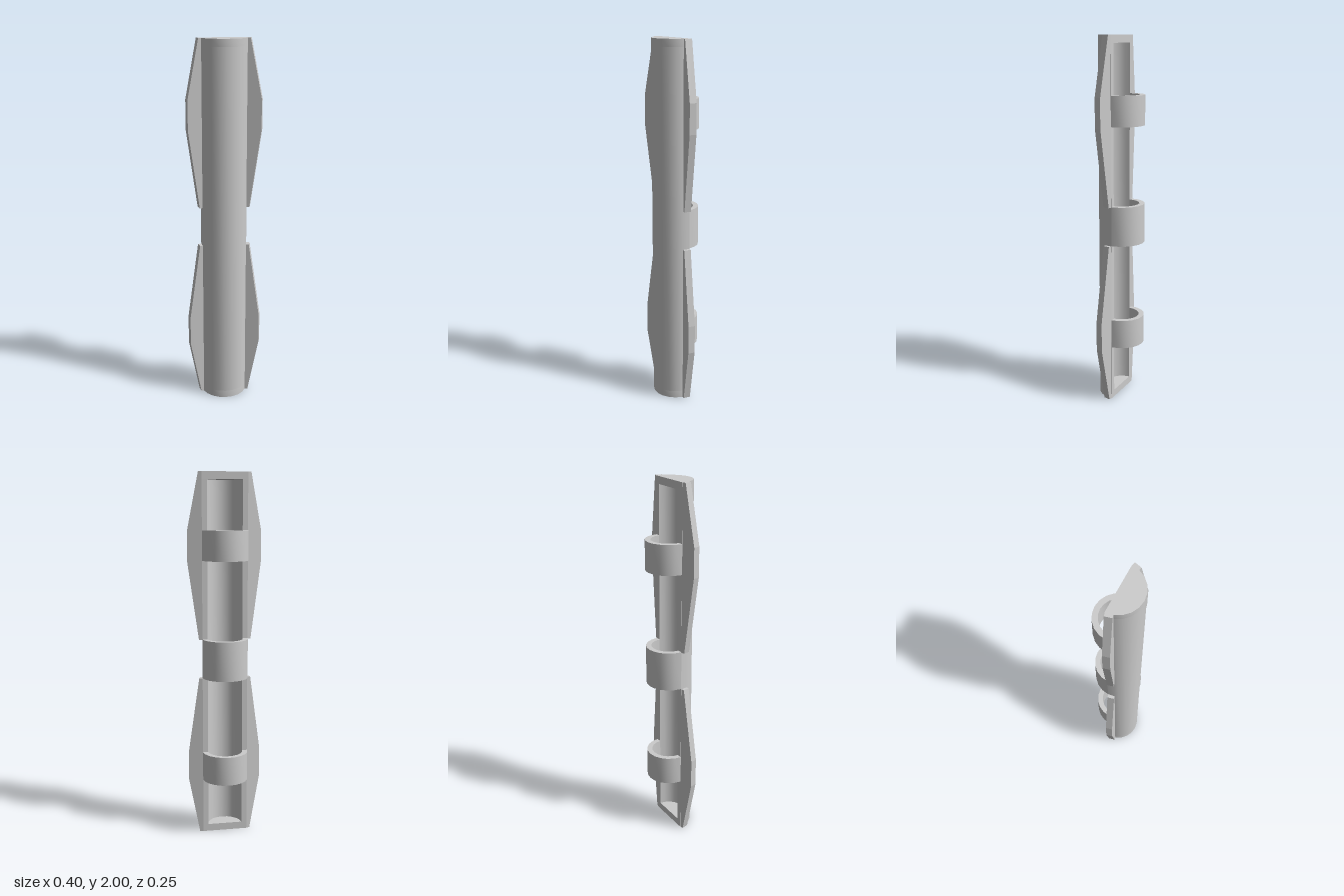
import * as THREE from 'three';
import { toCreasedNormals } from 'three/addons/utils/BufferGeometryUtils.js';

const R = 0.125, INNER = 0.096, SEGS = 10, END = 0.04;
const material = new THREE.MeshStandardMaterial({ color: 0xcccccc });

// Points of a half circle, front (side = 1, +z) or back (side = -1)
function arc(radius, side) {
  return Array.from({ length: SEGS + 1 }, (_, i) => {
    const a = (Math.PI * i) / SEGS;
    return new THREE.Vector2(radius * Math.cos(a), -side * radius * Math.sin(a));
  });
}

// Upright half cylinder from y0 to y1; inner = 0 makes it solid
function halfTube(name, side, inner, y0, y1) {
  const points = arc(R, side);
  if (inner > 0) points.push(...arc(inner, side).reverse());
  const geo = new THREE.ExtrudeGeometry(new THREE.Shape(points), { depth: y1 - y0, bevelEnabled: false });
  geo.rotateX(-Math.PI / 2).translate(0, y0, 0);
  const mesh = new THREE.Mesh(toCreasedNormals(geo, 0.5), material);
  mesh.name = name;
  return mesh;
}

// Tapered side plate, swept forward; outline is [distance out, height]
function wing(name, side, outline) {
  const shape = new THREE.Shape(outline.map(([u, y]) => new THREE.Vector2(side * u, y)));
  const geo = new THREE.ExtrudeGeometry(shape, { depth: 0.038, bevelEnabled: false });
  geo.rotateY(-side * THREE.MathUtils.degToRad(14.5)).translate(side * 0.12, 0, 0);
  const mesh = new THREE.Mesh(geo, material);
  mesh.name = name;
  return mesh;
}

export function createModel() {
  const model = new THREE.Group();
  model.name = 'splitGrip';

  // Front shell: hollow trough closed by solid ends
  const shell = new THREE.Group();
  shell.name = 'frontShell';
  shell.add(
    halfTube('trough', 1, INNER, END, 2 - END),
    halfTube('bottomEnd', 1, 0, 0, END),
    halfTube('topEnd', 1, 0, 2 - END, 2)
  );
  model.add(shell);

  // Half rings at the back
  model.add(
    halfTube('lowerRing', -1, INNER, 0.31, 0.47),
    halfTube('middleRing', -1, INNER, 0.895, 1.11),
    halfTube('upperRing', -1, INNER, 1.535, 1.695)
  );

  // Four side wings, mirrored left to right and bottom to top
  const outline = [[0, 0], [0.024, 0], [0.085, 0.31], [0.085, 0.47], [0.024, 0.893], [0, 0.893]];
  const flipped = outline.map(([u, y]) => [u, 2 - y]);
  for (const [side, word] of [[1, 'left'], [-1, 'right']]) {
    model.add(wing(word + 'LowerWing', side, outline), wing(word + 'UpperWing', side, flipped));
  }
  return model;
}
